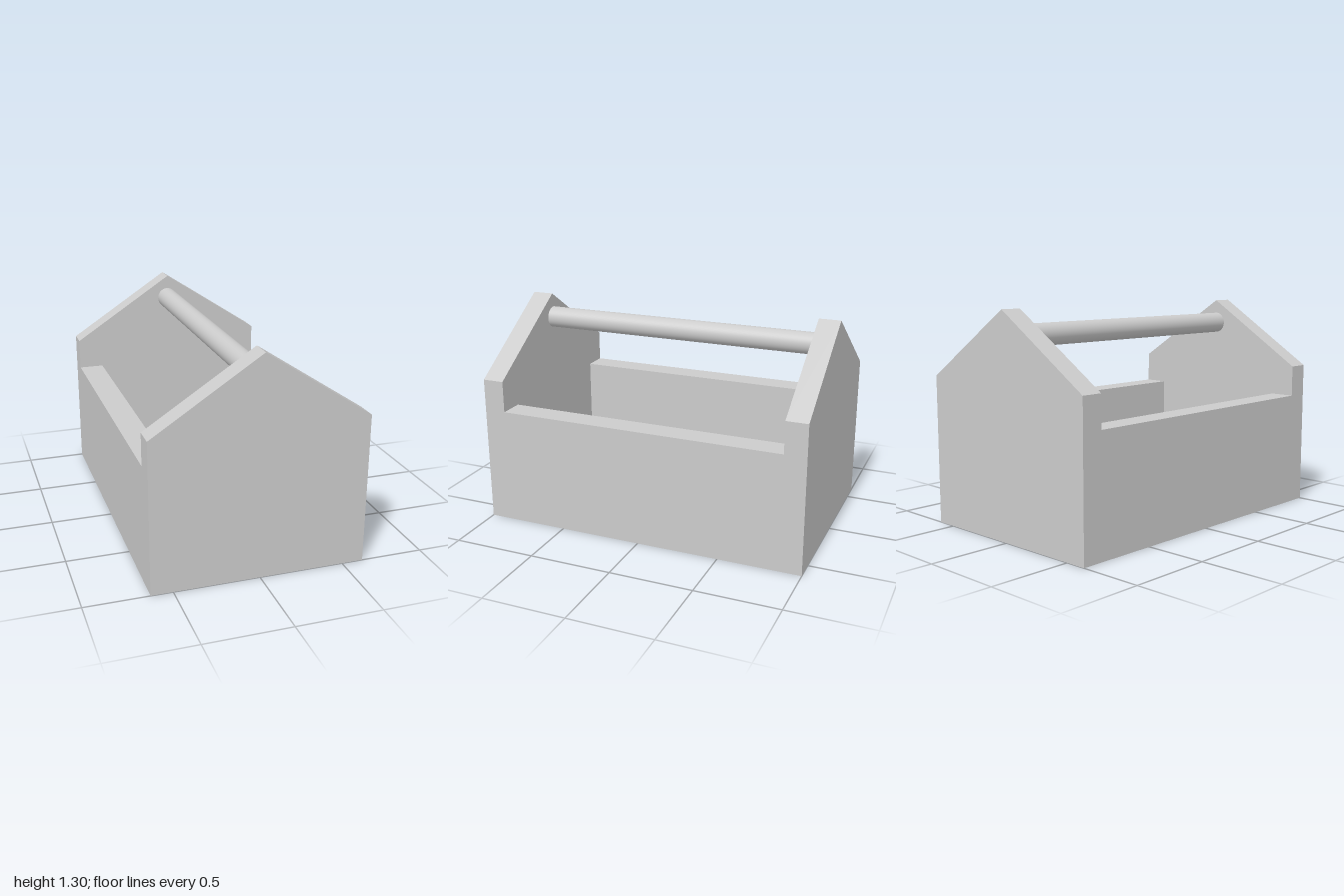
import * as THREE from 'three';

const W = 0.627;      // half width
const L = 1;          // half length
const END = 0.13;     // gable board thickness
const INNER = 0.475;  // half width of the inside
const SIDE_H = 0.705; // side wall height
const FLOOR = 0.1;    // floor thickness

export function createModel() {
  const group = new THREE.Group();
  const material = new THREE.MeshStandardMaterial({ color: 0xcccccc });

  const add = (name, geometry, x, y, z) => {
    const mesh = new THREE.Mesh(geometry, material);
    mesh.name = name;
    mesh.position.set(x, y, z);
    group.add(mesh);
    return mesh;
  };

  // Pointed end boards
  const gable = new THREE.Shape([
    new THREE.Vector2(-W, 0),
    new THREE.Vector2(W, 0),
    new THREE.Vector2(W, 0.895),
    new THREE.Vector2(0.003, 1.305),
    new THREE.Vector2(-W, 0.895),
  ]);
  const endGeometry = new THREE.ExtrudeGeometry(gable, { depth: END, bevelEnabled: false });
  add('frontEnd', endGeometry, 0, 0, L - END);
  add('backEnd', endGeometry, 0, 0, -L);

  // Long side walls between the ends
  const span = 2 * (L - END);
  const sideGeometry = new THREE.BoxGeometry(W - INNER, SIDE_H, span);
  for (const [name, s] of [['leftSide', 1], ['rightSide', -1]]) {
    add(name, sideGeometry, s * (W + INNER) / 2, SIDE_H / 2, 0);
  }

  // Floor between the walls
  add('floor', new THREE.BoxGeometry(2 * INNER, FLOOR, span), 0, FLOOR / 2, 0);

  // Round carrying bar, ending flush with the inside of the end boards
  const bar = new THREE.CylinderGeometry(0.065, 0.065, span, 48, 1, true);
  add('handle', bar, 0, 1.155, 0).rotation.x = Math.PI / 2;

  return group;
}
